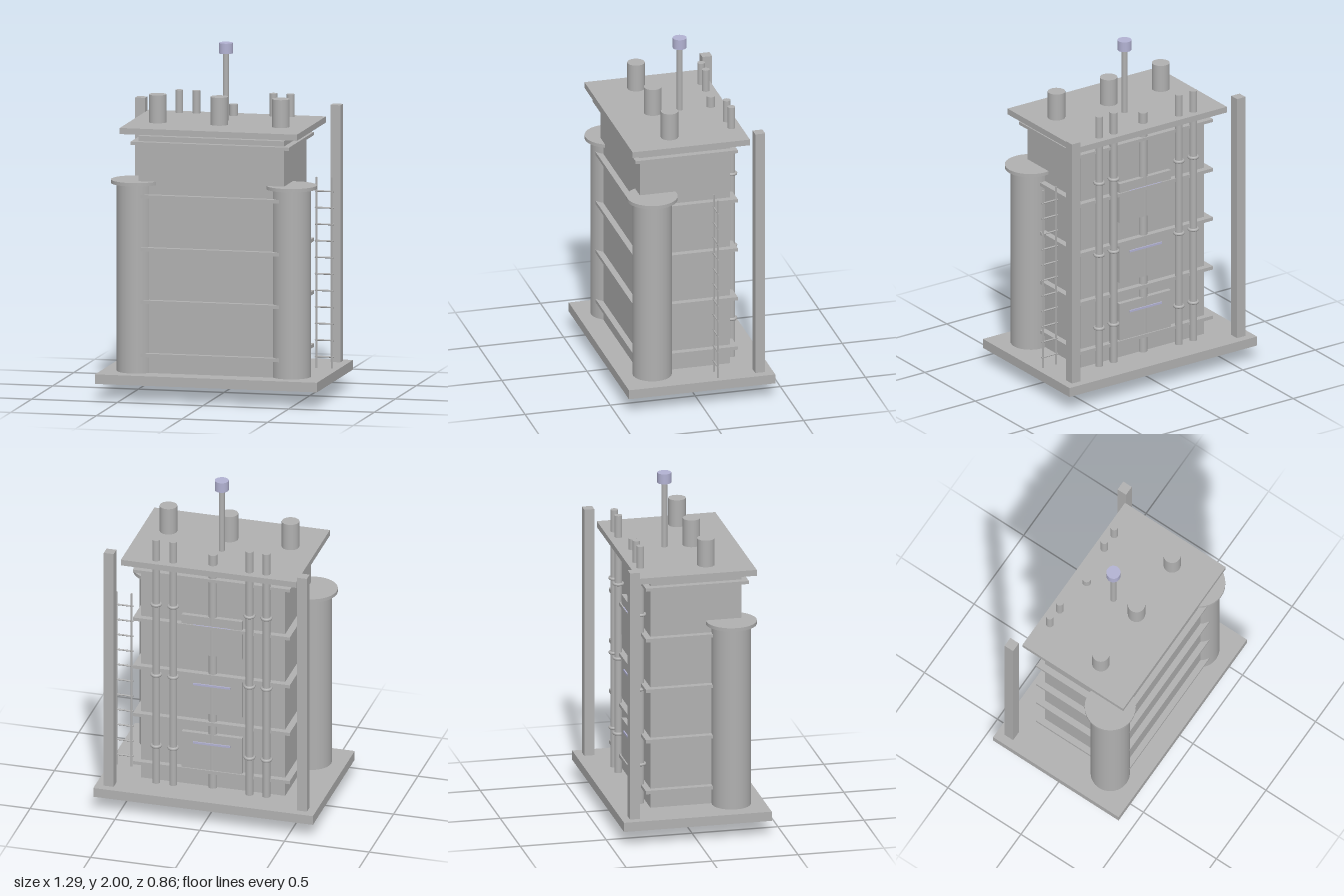
import * as THREE from 'three';

export function createModel() {
  const model = new THREE.Group();
  const steel = new THREE.MeshStandardMaterial({ color: 0xb0b0b0 });
  steel.name = 'steel grey';
  const lilac = new THREE.MeshStandardMaterial({ color: 0xb2b2d2 });
  lilac.name = 'pale lilac';

  const add = (name, geometry, x, y, z, material = steel) => {
    const mesh = new THREE.Mesh(geometry, material);
    mesh.name = name;
    mesh.position.set(x, y, z);
    model.add(mesh);
    return mesh;
  };
  // Box and upright cylinder given by their bottom and top heights
  const box = (name, w, d, y0, y1, x, z, material) =>
    add(name, new THREE.BoxGeometry(w, y1 - y0, d), x, (y0 + y1) / 2, z, material);
  const rod = (name, r, y0, y1, x, z, material, sides = 24) =>
    add(name, new THREE.CylinderGeometry(r, r, y1 - y0, sides), x, (y0 + y1) / 2, z, material);

  // Base, tower body and raised roof
  box('basePlate', 1.295, 0.86, 0.09, 0.145, 0, 0);
  box('towerBody', 0.85, 0.53, 0.145, 1.503, 0, 0.04);
  box('topFlange', 0.925, 0.6, 1.455, 1.473, 0, 0.04);
  box('roofPlate', 1.035, 0.69, 1.52, 1.555, 0, 0.028);

  // Ribs wrapped around the body
  for (const y of [0.25, 0.555, 0.857, 1.16]) box('rib', 0.925, 0.6, y - 0.01, y + 0.01, 0, 0.04);

  // Front columns with caps, and rear posts
  for (const side of [-1, 1]) {
    rod('frontColumn', 0.112, 0.14, 1.225, side * 0.452, 0.24);
    rod('columnCap', 0.145, 1.223, 1.243, side * 0.452, 0.24, steel, 32);
    box('rearPost', 0.058, 0.058, 0.14, 1.62, side * 0.57, -0.355);
  }

  // Roof stacks and mast
  for (const x of [-0.36, 0, 0.36]) rod('roofStack', 0.05, 1.55, 1.715, x, 0.113);
  rod('mast', 0.017, 1.55, 1.945, 0, -0.045);
  rod('mastCap', 0.04, 1.94, 2, 0, -0.045, lilac);

  // Rear pipes with collars
  for (const x of [-0.325, -0.225, 0.225, 0.325]) {
    rod('rearPipe', 0.022, 0.14, 1.685, x, -0.26);
    for (const y of [0.38, 0.83, 1.275]) {
      const collar = add('pipeCollar', new THREE.TorusGeometry(0.025, 0.009, 8, 24), x, y, -0.26);
      collar.rotation.x = Math.PI / 2;
    }
  }
  rod('centrePipe', 0.025, 0, 1.62, 0, -0.228);

  // Rear access panels with thin handle strips
  for (const y of [0.365, 0.735, 1.105]) {
    box('accessPanel', 0.355, 0.03, y - 0.12, y + 0.12, 0, -0.237);
    box('handleStrip', 0.22, 0.009, y + 0.054, y + 0.066, 0, -0.254, lilac);
  }

  // Ladder on the left side
  for (const x of [0.515, 0.605]) rod('ladderRail', 0.006, 0.14, 1.24, x, -0.105, steel, 8);
  for (let i = 0; i < 11; i++) {
    const rung = add('ladderRung', new THREE.CylinderGeometry(0.005, 0.005, 0.11, 8), 0.56, 0.21 + i * 0.095, -0.105);
    rung.rotation.z = Math.PI / 2;
  }

  return model;
}
